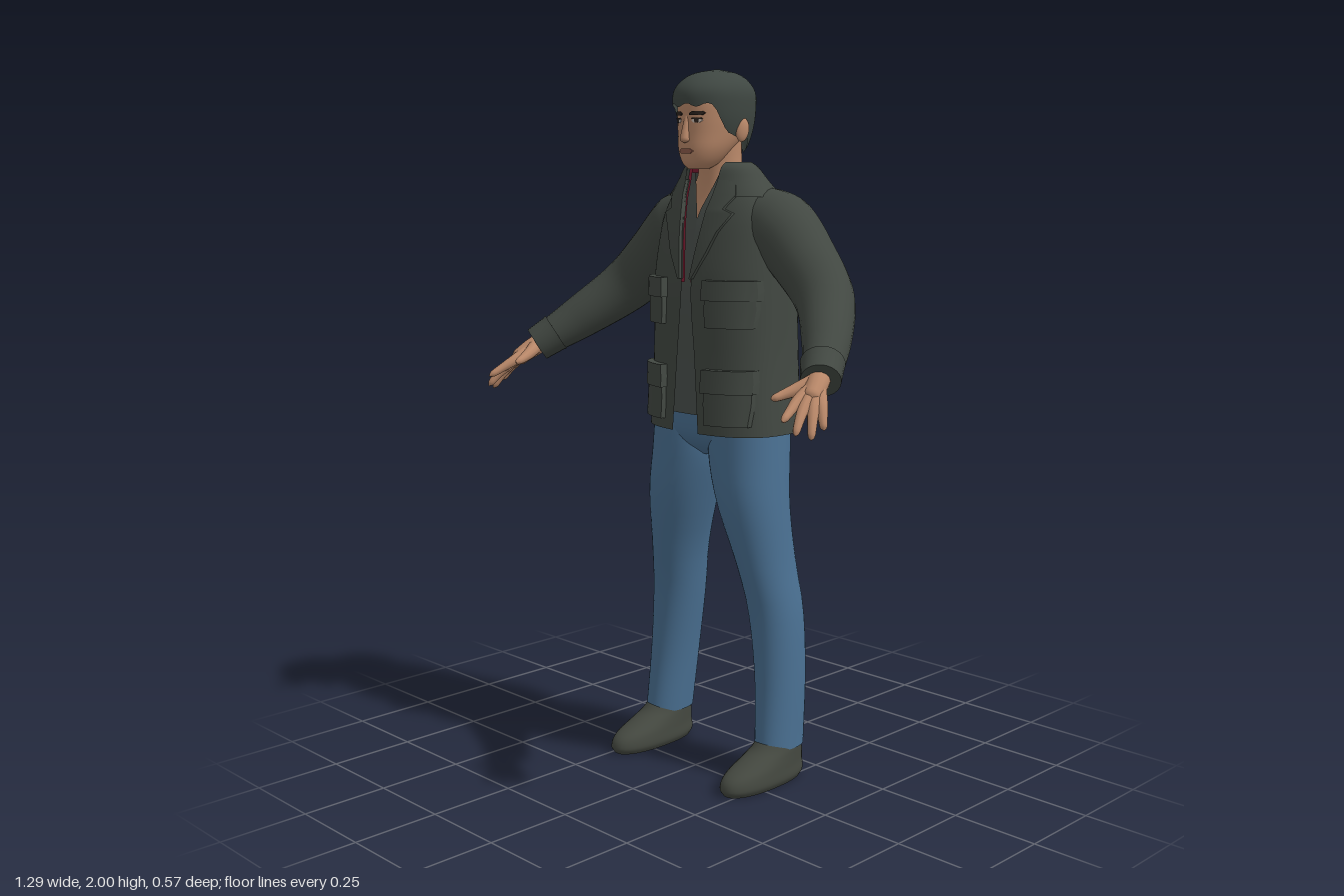
import * as THREE from 'three';

const mat = (name, color, side = THREE.FrontSide) => {
  const m = new THREE.MeshStandardMaterial({ color, side });
  m.name = name;
  return m;
};

// Smooth surface from rows of points; fn(v, u) gives [x, y, z], u runs round and v along
function grid(rows, cols, closed, caps, fn) {
  const pos = [], idx = [], n = closed ? cols : cols + 1;
  for (let i = 0; i <= rows; i++)
    for (let j = 0; j < n; j++) pos.push(...fn(i / rows, j / cols));
  for (let i = 0; i < rows; i++)
    for (let j = 0; j < cols; j++) {
      const k = (j + 1) % n, a = i * n + j, b = i * n + k, c = b + n, d = a + n;
      idx.push(a, b, c, a, c, d);
    }
  if (caps)
    for (const [row, flip] of [[0, true], [rows, false]]) {
      const mid = [0, 0, 0], base = pos.length / 3;
      for (let j = 0; j < n; j++)
        for (let k = 0; k < 3; k++) {
          const p = pos[(row * n + j) * 3 + k];
          pos.push(p);
          mid[k] += p / n;
        }
      pos.push(...mid);
      for (let j = 0; j < n; j++) {
        const a = base + j, b = base + (j + 1) % n;
        idx.push(...(flip ? [b, a, base + n] : [a, b, base + n]));
      }
    }
  const g = new THREE.BufferGeometry();
  g.setAttribute('position', new THREE.Float32BufferAttribute(pos, 3));
  g.setIndex(idx);
  g.computeVertexNormals();
  return g;
}

// Smooth lookup in stations [y, cx, cz, rx, rz, exponent, half width of front gap]
function sample(st, y) {
  let i = 0;
  while (i < st.length - 2 && y > st[i + 1][0]) i++;
  const a = st[i], b = st[i + 1], h = b[0] - a[0];
  const t = THREE.MathUtils.clamp((y - a[0]) / h, 0, 1);
  const p = st[Math.max(i - 1, 0)], q = st[Math.min(i + 2, st.length - 1)];
  return a.map((_, k) => {
    const m0 = (b[k] - p[k]) / (b[0] - p[0]) * h, m1 = (q[k] - a[k]) / (q[0] - a[0]) * h;
    const t2 = t * t, t3 = t2 * t;
    return (2 * t3 - 3 * t2 + 1) * a[k] + (t3 - 2 * t2 + t) * m0 + (3 * t2 - 2 * t3) * b[k] + (t3 - t2) * m1;
  });
}

// Upright body of rounded cross-sections, optionally open down the front
function loft(st, { open = false, caps = !open, bottom = null, rows = 28, cols = 40 } = {}) {
  const y0 = st[0][0], y1 = st[st.length - 1][0];
  const pw = (c, e) => Math.sign(c) * Math.pow(Math.abs(c), e);
  return grid(rows, cols, !open, caps, (v, u) => {
    const low = bottom ? bottom(u * 2 * Math.PI) : y0;
    const y = low + (y1 - low) * (1 - Math.cos(Math.PI * v)) / 2;
    const [, cx, cz, rx, rz, n, gap] = sample(st, y);
    const a0 = open ? Math.asin(Math.min(1, Math.pow(Math.max(0, gap) / rx, n / 2))) : 0;
    const t = a0 + u * 2 * (Math.PI - a0);
    return [cx + rx * pw(Math.sin(t), 2 / n), y, cz + rz * pw(Math.cos(t), 2 / n)];
  });
}

// Tapered round limb through points [x, y, z, radius]
function limb(pts, round = true, seg = 16, sides = 14) {
  const curve = new THREE.CatmullRomCurve3(pts.map(p => new THREE.Vector3(p[0], p[1], p[2])));
  const ref = new THREE.Vector3(0, 0, 1);
  return grid(seg, sides, true, true, (v, u) => {
    const f = v * (pts.length - 1), i = Math.min(Math.floor(f), pts.length - 2);
    let r = THREE.MathUtils.lerp(pts[i][3], pts[i + 1][3], f - i);
    const e = Math.max(0, (v - 0.85) / 0.15);
    if (round) r *= Math.sqrt(Math.max(0.03, 1 - e * e));
    const T = curve.getTangent(v), N = ref.clone().cross(T).normalize(), B = T.clone().cross(N);
    return curve.getPoint(v).addScaledVector(N, r * Math.cos(u * 2 * Math.PI))
      .addScaledVector(B, r * Math.sin(u * 2 * Math.PI)).toArray();
  });
}

// Plate that follows the front of a lofted body; rows [y, x0, x1] run upward
function panel(st, rows, depth, side = 1) {
  const g = new THREE.BoxGeometry(1, 1, 1, 8, rows.length - 1, 1), p = g.attributes.position;
  for (let i = 0; i < p.count; i++) {
    let [y, x0, x1] = rows[Math.round((p.getY(i) + 0.5) * (rows.length - 1))];
    if (side < 0) [x0, x1] = [-x1, -x0];
    const x = THREE.MathUtils.lerp(x0, x1, p.getX(i) + 0.5);
    const [, , cz, rx, rz, n] = sample(st, y);
    const z = cz + rz * Math.pow(Math.max(0, 1 - Math.pow(Math.abs(x / rx), n)), 1 / n);
    p.setXYZ(i, x, y, z + (p.getZ(i) > 0 ? depth : -0.01));
  }
  g.computeVertexNormals();
  return g;
}

export function createModel() {
  const model = new THREE.Group();
  model.name = 'standingMan';
  const M = {
    jacket: mat('jacketGreen', 0x424842, THREE.DoubleSide),
    shirt: mat('shirtGrey', 0x4a504c, THREE.DoubleSide),
    lining: mat('liningRed', 0x8a1f36, THREE.DoubleSide),
    jeans: mat('denimBlue', 0x4a7092),
    shoe: mat('shoeOlive', 0x444840),
    skin: mat('skin', 0xb98869),
    hair: mat('hairDark', 0x3f4742, THREE.DoubleSide),
    dark: mat('browDark', 0x2b221d),
    lip: mat('lipBrown', 0x8e5c4c),
    white: mat('eyeWhite', 0xc4b8ae),
  };
  const add = (name, g, m) => {
    const mesh = new THREE.Mesh(g, m);
    mesh.name = name;
    model.add(mesh);
    return mesh;
  };

  // Jacket, lining, shirt and collar
  const jacket = [
    [1.0, 0, -0.12, 0.232, 0.163, 2.6, 0.05], [1.2, 0, -0.12, 0.218, 0.16, 2.6, 0.035],
    [1.42, 0, -0.12, 0.214, 0.157, 2.6, 0.018], [1.53, 0, -0.128, 0.212, 0.148, 2.5, 0.033],
    [1.6, 0, -0.122, 0.2, 0.127, 2.4, 0.045], [1.65, 0, -0.115, 0.176, 0.105, 2.3, 0.055],
    [1.69, 0, -0.11, 0.145, 0.086, 2.2, 0.06], [1.735, 0, -0.1, 0.108, 0.069, 2, 0.065],
  ];
  const inset = (ys, d, gap) => ys.map(y => {
    const q = sample(jacket, y);
    return [y, 0, q[2], q[3] - d, q[4] - d, q[5], gap(y, q[6])];
  });
  add('jacketBody', loft(jacket, { open: true, rows: 36, cols: 56 }), M.jacket);
  add('jacketLining', loft(inset([1.42, 1.5, 1.58, 1.65, 1.7, 1.735], 0.005, (y, g) => g - 0.007), { open: true }), M.lining);
  add('shirt', loft(inset([1.05, 1.2, 1.4, 1.55, 1.6, 1.65, 1.69, 1.72], 0.012, y => Math.max(0, y - 1.6) * 0.4), { open: true }), M.shirt);
  add('collar', loft([
    [1.655, 0, -0.116, 0.184, 0.11, 2.3, 0.058], [1.7, 0, -0.108, 0.145, 0.092, 2.2, 0.062],
    [1.735, 0, -0.1, 0.12, 0.078, 2.1, 0.066], [1.748, 0, -0.099, 0.1, 0.068, 2, 0.068],
  ], { open: true, rows: 12 }), M.jacket);

  // Neck and head
  add('neck', loft([
    [1.5, 0, -0.126, 0.17, 0.115, 2.4], [1.6, 0, -0.12, 0.155, 0.1, 2.3], [1.66, 0, -0.11, 0.115, 0.075, 2.1],
    [1.71, 0, -0.1, 0.07, 0.06, 2], [1.82, 0, -0.095, 0.06, 0.06, 2],
  ]), M.skin);
  const head = [
    [1.73, 0, -0.012, 0.026, 0.032, 2], [1.745, 0, -0.02, 0.046, 0.052, 2.1], [1.78, 0, -0.036, 0.067, 0.074, 2.2],
    [1.82, 0, -0.058, 0.079, 0.095, 2.2], [1.87, 0, -0.072, 0.087, 0.109, 2.2], [1.92, 0, -0.075, 0.087, 0.11, 2.1],
    [1.96, 0, -0.075, 0.068, 0.088, 2], [1.985, 0, -0.08, 0.03, 0.04, 2],
  ];
  add('head', loft(head), M.skin);
  const S = THREE.MathUtils.smoothstep;
  add('hair', loft([
    [1.775, 0, -0.09, 0.064, 0.078, 2], [1.8, 0, -0.083, 0.079, 0.097, 2.1], [1.85, 0, -0.076, 0.094, 0.119, 2.1],
    [1.9, 0, -0.074, 0.1, 0.126, 2.1], [1.94, 0, -0.074, 0.098, 0.123, 2.1], [1.97, 0, -0.076, 0.081, 0.1, 2],
    [1.99, 0, -0.08, 0.05, 0.062, 2], [2.0, 0, -0.084, 0.004, 0.005, 2],
  ], {
    caps: false, cols: 60, bottom: a => {
      const t = Math.min(a, 2 * Math.PI - a);
      return 1.9 - 0.08 * S(t, 0.85, 1.3) - 0.04 * S(t, 1.8, 2.4) + 0.005 * Math.sin(11 * a);
    },
  }), M.hair);
  add('nose', limb([[0, 1.872, 0.029, 0.008], [0, 1.835, 0.039, 0.01], [0, 1.8, 0.043, 0.015]]), M.skin);
  add('mouth', panel(head, [[1.771, -0.016, 0.016], [1.778, -0.026, 0.026], [1.785, -0.014, 0.014]], 0.004), M.lip);

  // Hips under the jacket
  add('hips', loft([
    [0.925, 0, -0.105, 0.1, 0.06, 2], [0.96, 0, -0.105, 0.19, 0.1, 2.2],
    [1.0, 0, -0.105, 0.219, 0.116, 2.4], [1.08, 0, -0.11, 0.2, 0.118, 2.4],
  ]), M.jeans);

  for (const s of [1, -1]) {
    const side = s > 0 ? 'left' : 'right';
    const mir = pts => pts.map(([x, ...r]) => [s * x, ...r]);
    const mirLoft = st => st.map(([y, x, ...r]) => [y, s * x, ...r]);

    // Face details
    add(side + 'Eyebrow', panel(head, [[1.874, 0.014, 0.05], [1.879, 0.014, 0.056], [1.884, 0.024, 0.05]], 0.004, s), M.dark);
    add(side + 'EyeWhite', panel(head, [[1.854, 0.026, 0.042], [1.859, 0.02, 0.05], [1.864, 0.026, 0.044]], 0.002, s), M.white);
    add(side + 'Iris', panel(head, [[1.854, 0.031, 0.039], [1.859, 0.029, 0.041], [1.865, 0.03, 0.04]], 0.003, s), M.dark);
    add(side + 'EyeLid', panel(head, [[1.863, 0.02, 0.05], [1.867, 0.024, 0.046]], 0.004, s), M.dark);
    const ear = add(side + 'Ear', new THREE.SphereGeometry(1, 14, 10), M.skin);
    ear.scale.set(0.011, 0.033, 0.02);
    ear.position.set(s * 0.093, 1.835, -0.088);
    ear.rotation.set(-0.2, s * -0.3, 0);

    // Lapel and the pockets with their flaps
    add(side + 'Lapel', panel(jacket, [
      [1.43, 0.019, 0.026], [1.5, 0.03, 0.068], [1.56, 0.04, 0.095], [1.61, 0.047, 0.13],
      [1.622, 0.049, 0.1], [1.66, 0.058, 0.125], [1.7, 0.063, 0.11],
    ], 0.011, s), M.jacket);
    for (const [y0, y1, f0, f1] of [[1.3, 1.4, 1.375, 1.43], [1.03, 1.15, 1.12, 1.185]]) {
      add(side + 'Pocket', panel(jacket, [[y0, 0.085, 0.2], [(y0 + y1) / 2, 0.082, 0.204], [y1, 0.085, 0.202]], 0.017, s), M.jacket);
      add(side + 'PocketFlap', panel(jacket, [[f0, 0.078, 0.207], [(f0 + f1) / 2, 0.078, 0.207], [f1, 0.08, 0.205]], 0.025, s), M.jacket);
    }

    // Sleeve and cuff
    add(side + 'Sleeve', limb(mir([
      [0.1, 1.6, -0.13, 0.088], [0.19, 1.565, -0.14, 0.103], [0.29, 1.48, -0.13, 0.091],
      [0.385, 1.39, -0.1, 0.081], [0.48, 1.295, 0, 0.066], [0.553, 1.217, 0.103, 0.049],
    ]), false, 36, 24), M.jacket);
    add(side + 'Cuff', limb(mir([[0.528, 1.244, 0.07, 0.058], [0.562, 1.208, 0.116, 0.052]]), false, 3, 24), M.jacket);

    // Hand: wrist, fingers that merge into the palm, and thumb
    add(side + 'Wrist', limb(mir([[0.54, 1.23, 0.085, 0.03], [0.565, 1.198, 0.135, 0.029], [0.585, 1.163, 0.185, 0.024]])), M.skin);
    const fingers = [
      [[0.564, 1.168, 0.202], [0.574, 1.145, 0.245], [0.583, 1.125, 0.282]],
      [[0.584, 1.157, 0.2], [0.6, 1.122, 0.24], [0.61, 1.092, 0.264]],
      [[0.6, 1.152, 0.186], [0.62, 1.112, 0.214], [0.632, 1.08, 0.23]],
      [[0.609, 1.153, 0.166], [0.626, 1.125, 0.181], [0.638, 1.1, 0.19]],
    ];
    for (const f of fingers)
      add(side + 'Finger', limb(mir([[0.562, 1.205, 0.125, 0.02], ...f.map((p, i) => [...p, [0.016, 0.012, 0.009][i]])]), true, 18, 10), M.skin);
    add(side + 'Thumb', limb(mir([
      [0.553, 1.208, 0.125, 0.022], [0.532, 1.19, 0.168, 0.018], [0.517, 1.177, 0.207, 0.013], [0.507, 1.168, 0.24, 0.009],
    ]), true, 18, 10), M.skin);

    // Trouser leg
    add(side + 'Leg', loft(mirLoft([
      [0.1, 0.227, -0.113, 0.058, 0.08, 2.1], [0.3, 0.215, -0.128, 0.066, 0.079, 2.1], [0.49, 0.196, -0.128, 0.074, 0.083, 2.1],
      [0.62, 0.175, -0.111, 0.076, 0.091, 2.1], [0.8, 0.139, -0.092, 0.099, 0.103, 2.2],
      [0.93, 0.115, -0.1, 0.113, 0.112, 2.2], [1.05, 0.11, -0.108, 0.108, 0.115, 2.3],
    ])), M.jeans);

    // Shoe
    add(side + 'Shoe', loft(mirLoft([
      [0, 0.228, -0.04, 0.053, 0.145, 2.3], [0.018, 0.228, -0.04, 0.062, 0.155, 2.3], [0.05, 0.228, -0.048, 0.061, 0.145, 2.2],
      [0.08, 0.228, -0.08, 0.058, 0.112, 2.1], [0.1, 0.228, -0.1, 0.056, 0.088, 2], [0.13, 0.227, -0.113, 0.05, 0.068, 2],
    ])), M.shoe);
  }
  return model;
}
